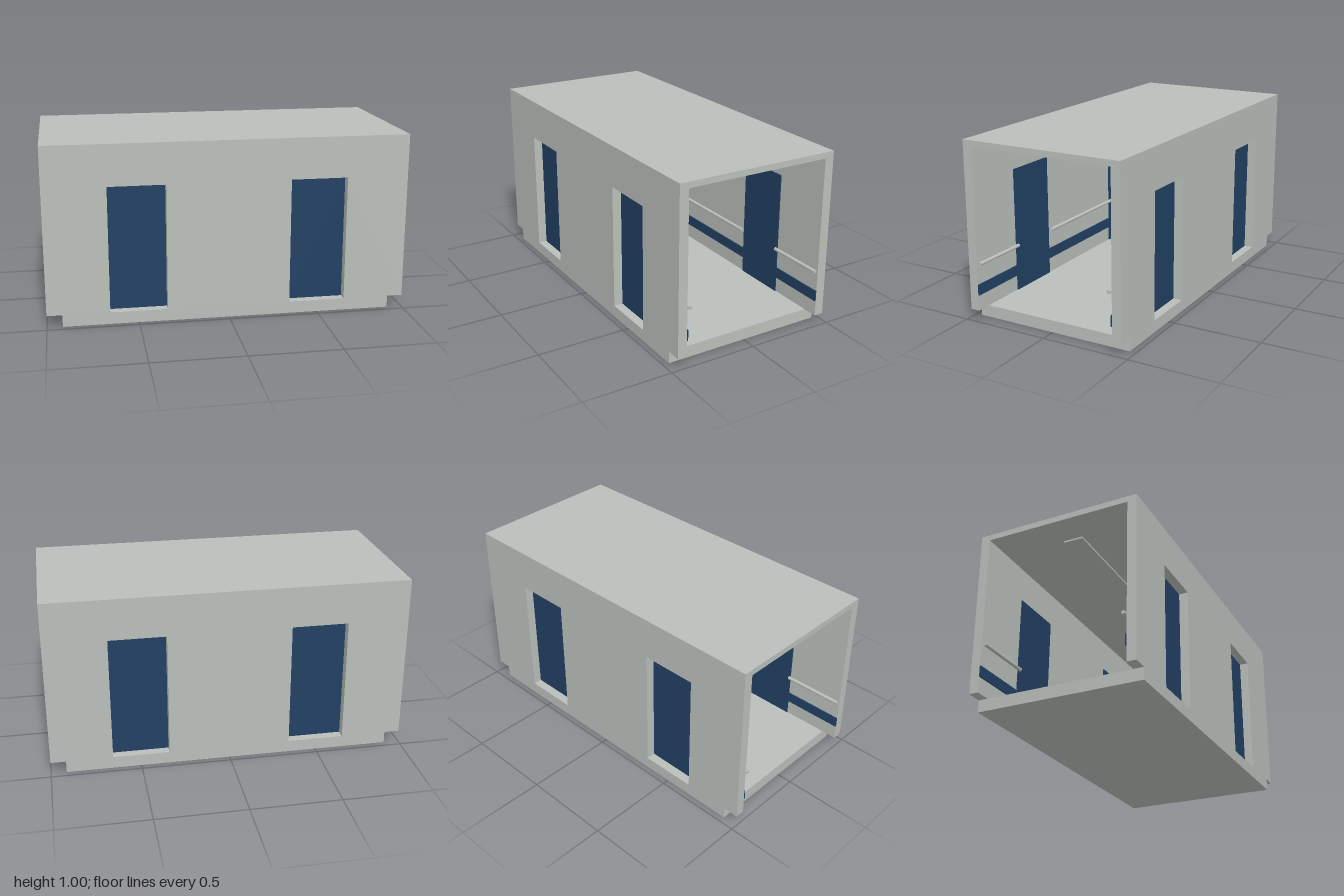
import * as THREE from 'three';

export function createModel() {
  const model = new THREE.Group();
  model.name = 'corridor';
  const grey = new THREE.MeshStandardMaterial({ color: 0xbabfba });
  grey.name = 'pale grey';
  const blue = new THREE.MeshStandardMaterial({ color: 0x214063 });
  blue.name = 'navy blue';

  // box given by its limits on each axis
  function box(name, material, [x0, x1], [y0, y1], [z0, z1], parent = model) {
    const mesh = new THREE.Mesh(new THREE.BoxGeometry(x1 - x0, y1 - y0, z1 - z0), material);
    mesh.position.set((x0 + x1) / 2, (y0 + y1) / 2, (z0 + z1) / 2);
    mesh.name = name;
    parent.add(mesh);
  }

  const floorTop = 0.067, wallTop = 0.967, doorTop = 0.77;
  const inner = 0.413, outer = 0.465;
  const doors = [[-0.657, -0.342], [0.342, 0.657]];
  const bays = [[-1, -0.657], [-0.342, 0.342], [0.657, 1]];

  // floor slab and roof slab
  box('floor', grey, [-0.915, 0.915], [0, floorTop], [-outer, outer]);
  box('roof', grey, [-1, 1], [wallTop, 1], [-outer, outer]);

  // wall outline with two doorways open at the bottom
  const outline = new THREE.Shape();
  outline.moveTo(-1, floorTop);
  for (const [x0, x1] of doors) {
    outline.lineTo(x0, floorTop);
    outline.lineTo(x0, doorTop);
    outline.lineTo(x1, doorTop);
    outline.lineTo(x1, floorTop);
  }
  outline.lineTo(1, floorTop);
  outline.lineTo(1, wallTop);
  outline.lineTo(-1, wallTop);
  outline.closePath();
  const wallGeometry = new THREE.ExtrudeGeometry(outline, { depth: outer - inner, bevelEnabled: false });
  const railRadius = 0.01;

  // each side: wall, doors, kick stripes and handrails
  for (const side of ['front', 'back']) {
    const group = new THREE.Group();
    group.name = side + 'Side';
    if (side === 'back') group.rotation.y = Math.PI;
    model.add(group);

    const wall = new THREE.Mesh(wallGeometry, grey);
    wall.position.z = inner;
    wall.name = 'wall';
    group.add(wall);

    for (const span of doors) box('door', blue, span, [floorTop, doorTop], [0.408, 0.414], group);

    for (const [x0, x1] of bays) {
      box('kickStripe', blue, [x0, x1], [0.155, 0.215], [0.406, inner + 0.001], group);
      const rail = new THREE.Mesh(new THREE.CylinderGeometry(railRadius, railRadius, x1 - x0, 16), grey);
      rail.rotation.z = Math.PI / 2;
      rail.position.set((x0 + x1) / 2, 0.335, 0.394);
      rail.name = 'handrail';
      group.add(rail);
    }
  }

  // ceiling lights
  for (const x of [-0.5, 0.5]) {
    box('ceilingLight', grey, [x - 0.32, x + 0.32], [0.957, wallTop], [-0.057, 0.057]);
  }
  return model;
}
